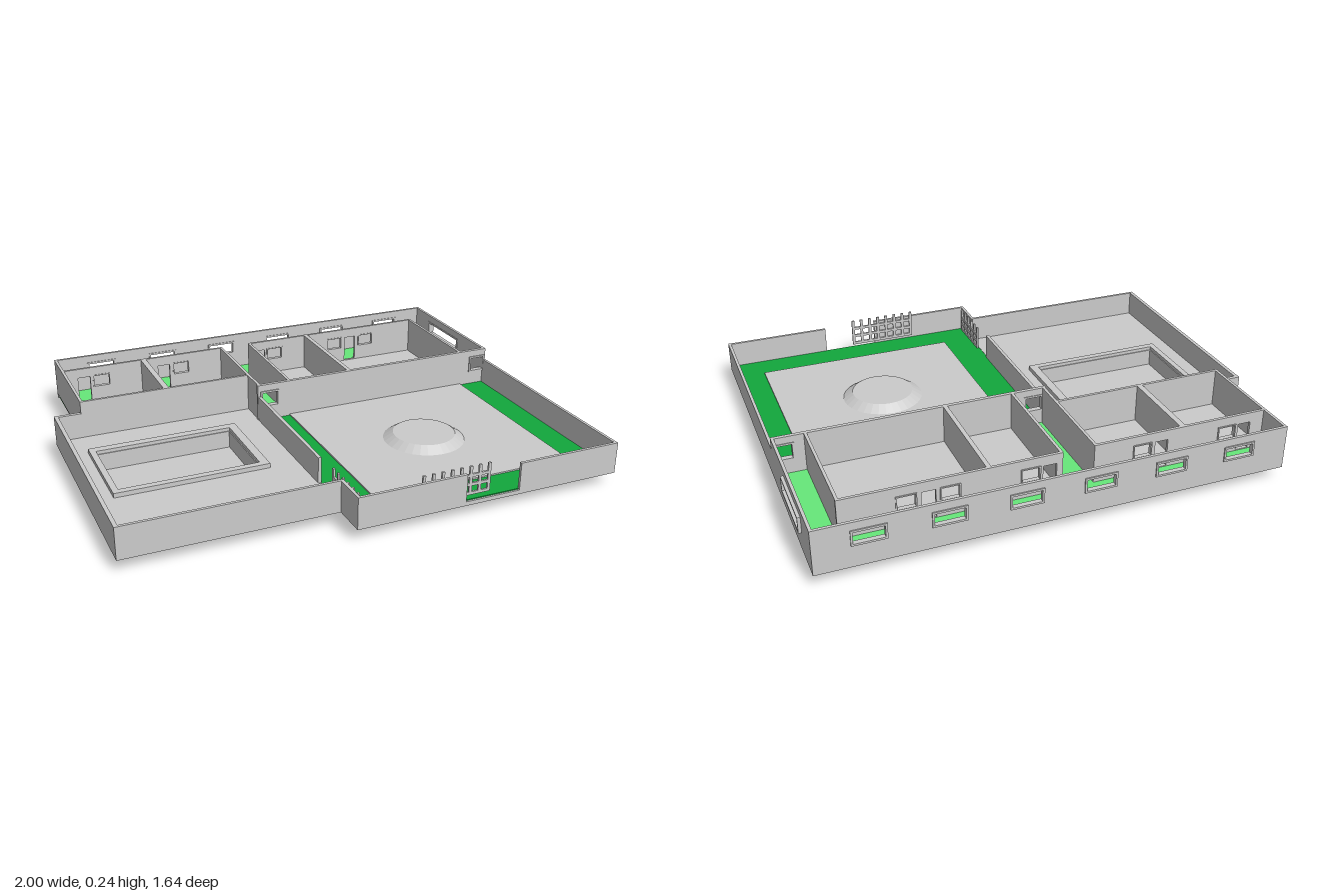
import * as THREE from 'three';

const GREY = new THREE.MeshStandardMaterial({ color: 0xcccccc, flatShading: true });
const LAWN = new THREE.MeshStandardMaterial({ color: 0x66e87a });
const DARK_LAWN = new THREE.MeshStandardMaterial({ color: 0x12a73c });

const BASE = 0.053, LOW = 0.185, HIGH = 0.237;

function rectPath(target, a, b, c, d) {
  target.moveTo(a, c);
  target.lineTo(b, c);
  target.lineTo(b, d);
  target.lineTo(a, d);
  target.closePath();
  return target;
}

export function createModel() {
  const root = new THREE.Group();

  function add(name, geometry, material = GREY, parent = root) {
    const mesh = new THREE.Mesh(geometry, material);
    mesh.name = name;
    parent.add(mesh);
    return mesh;
  }

  // Box given by its limits on each axis
  function block(name, x0, x1, y0, y1, z0, z1, material, parent) {
    const mesh = add(name, new THREE.BoxGeometry(x1 - x0, y1 - y0, z1 - z0), material, parent);
    mesh.position.set((x0 + x1) / 2, (y0 + y1) / 2, (z0 + z1) / 2);
    return mesh;
  }

  // Upright wall running along x or z, with openings [from, to, bottom, top]
  function wall(name, axis, from, to, at, thick, y0, y1, openings = []) {
    const shape = rectPath(new THREE.Shape(), from, to, y0, y1);
    for (const o of openings) shape.holes.push(rectPath(new THREE.Path(), ...o));
    const geo = new THREE.ExtrudeGeometry(shape, { depth: thick, bevelEnabled: false });
    geo.translate(0, 0, -thick / 2);
    if (axis === 'z') geo.rotateY(-Math.PI / 2);
    const mesh = add(name, geo);
    mesh.position[axis === 'x' ? 'z' : 'x'] = at;
    return mesh;
  }

  // Frame around an opening
  function frame(name, axis, [a, b, c, d], at, thick, rim = 0.008) {
    wall(name, axis, a - rim, b + rim, at, thick, c - rim, d + rim, [[a, b, c, d]]);
  }

  // Flat slab with optional rectangular hole, limits in x and z
  function slab(name, x0, x1, z0, z1, y0, y1, hole, material) {
    const shape = rectPath(new THREE.Shape(), x0, x1, -z1, -z0);
    if (hole) shape.holes.push(rectPath(new THREE.Path(), hole[0], hole[1], -hole[3], -hole[2]));
    const geo = new THREE.ExtrudeGeometry(shape, { depth: y1 - y0, bevelEnabled: false });
    geo.rotateX(-Math.PI / 2);
    add(name, geo, material).position.y = y0;
  }

  // Lawns
  const G0 = 0.056, G1 = 0.074;
  block('backLawn', -0.885, 0.98, G0, G1, -0.81, -0.665, LAWN);
  block('passageLawn', -0.14, -0.003, G0, G1, -0.665, -0.175, LAWN);
  block('sideLawn', 0.86, 0.98, G0, G1, -0.665, -0.175, LAWN);
  block('courtLawnRight', -0.14, -0.003, G0, G1, -0.175, 0.81, DARK_LAWN);
  block('courtLawnLeft', 0.86, 0.98, G0, G1, -0.175, 0.81, DARK_LAWN);
  block('courtLawnFront', -0.003, 0.86, G0, G1, 0.68, 0.81, DARK_LAWN);

  // Paved floors
  block('courtFloor', -0.003, 0.86, G0, 0.08, -0.175, 0.68);
  block('leftRoomsFloor', -0.003, 0.86, G0, 0.076, -0.665, -0.175);
  block('rightRoomsFloor', -0.885, -0.14, G0, 0.076, -0.665, -0.305);
  const pool = [-0.88, -0.305, -0.105, 0.247];
  slab('yardFloor', -0.99, -0.14, -0.305, 0.67, 0.06, 0.076, pool);

  // Round plinth in the court
  const plinth = add('courtPlinth', new THREE.CylinderGeometry(0.13, 0.17, 0.027, 32));
  plinth.position.set(0.42, 0.0935, 0.28);

  // Pool
  slab('poolRim', -0.905, -0.27, -0.14, 0.275, 0.07, 0.095, pool);
  slab('poolWalls', pool[0], pool[1], pool[2], pool[3], 0, 0.08, [-0.876, -0.309, -0.101, 0.243]);
  block('poolBottom', pool[0], pool[1], 0, 0.006, pool[2], pool[3]);

  // Outer house walls with their windows
  const T = 0.012;
  const backWindows = [];
  for (let i = 0; i < 6; i++) {
    const x = -0.678 + i * 0.2925;
    backWindows.push([x - 0.058, x + 0.058, 0.15, 0.197]);
  }
  wall('backWall', 'x', -0.89, 0.988, -0.81, T, BASE, HIGH, backWindows);
  for (const w of backWindows) frame('backWindowFrame', 'x', w, -0.811, 0.02);

  const sideWindow = [-0.67, -0.405, 0.148, 0.198];
  wall('houseLeftWall', 'z', -0.816, -0.165, 0.982, T, BASE, HIGH, [sideWindow]);
  frame('sideWindowFrame', 'z', sideWindow, 0.987, 0.026);
  wall('houseRightWall', 'z', -0.816, -0.3, -0.884, T, G1, HIGH);

  const frontWindows = [[-0.13, -0.06, 0.14, 0.2], [0.91, 0.975, 0.14, 0.2]];
  wall('houseFrontWall', 'x', -0.15, 0.988, -0.173, 0.016, G1, HIGH, frontWindows);
  for (const w of frontWindows) frame('frontWindowFrame', 'x', w, -0.172, 0.024);
  wall('rightRoomsFrontWall', 'x', -0.89, -0.135, -0.303, T, G0, HIGH);

  // Room walls onto the back lawn: door and window openings
  const door = (x) => [x, x + 0.055, 0.078, 0.195];
  const win = (x) => [x, x + 0.07, 0.145, 0.195];
  const rightOpenings = [door(-0.82), win(-0.748), door(-0.45), win(-0.375)];
  const leftOpenings = [door(0.02), win(0.09), win(0.405), door(0.495), win(0.572)];
  wall('rightRoomsBackWall', 'x', -0.885, -0.135, -0.665, T, G0, HIGH, rightOpenings);
  wall('leftRoomsBackWall', 'x', -0.005, 0.862, -0.665, T, G0, HIGH, leftOpenings);
  for (const o of [...rightOpenings, ...leftOpenings]) {
    if (o[2] > 0.1) frame('roomWindowFrame', 'x', o, -0.666, 0.018, 0.005);
  }

  // Walls between rooms
  const partitions = [
    [-0.517, -0.303, 0.024], [-0.141, -0.165, T], [-0.001, -0.175, T],
    [0.288, -0.175, 0.018], [0.855, -0.175, T],
  ];
  for (const [x, z1, t] of partitions) wall('partition', 'z', -0.665, z1, x, t, G0, HIGH);

  // Low walls around the yard
  wall('yardRightWall', 'z', -0.312, 0.675, -0.992, 0.016, BASE, LOW);
  wall('yardFrontWall', 'x', -1, -0.14, 0.669, T, BASE, LOW);
  wall('yardBackWall', 'x', -1, -0.885, -0.304, 0.016, BASE, LOW);
  wall('yardDivider', 'z', -0.175, 0.47, -0.142, 0.014, BASE, LOW);

  // Low walls around the court
  wall('courtLeftWall', 'z', -0.17, 0.818, 0.982, T, BASE, LOW);
  wall('courtCornerWall', 'z', 0.665, 0.818, -0.142, T, BASE, LOW);
  wall('courtFrontWallRight', 'x', -0.148, 0.305, 0.812, T, BASE, LOW);
  wall('courtFrontWallLeft', 'x', 0.54, 0.988, 0.812, T, BASE, LOW);
  block('gateSill', 0.305, 0.54, BASE, 0.07, 0.806, 0.818);

  // Lattice gates built along x, then placed
  function gate(name, length, y0, y1) {
    const g = new THREE.Group();
    g.name = name;
    const count = Math.round(length / 0.04);
    for (let i = 0; i <= count; i++) {
      const x = (i / count) * length;
      block('gateBar', x - 0.006, x + 0.006, y0, y1, -0.004, 0.004, GREY, g);
    }
    for (let i = 0; i < 3; i++) {
      const y = y0 + 0.006 + i * (y1 - y0 - 0.045) / 2;
      block('gateRail', -0.006, length + 0.006, y - 0.006, y + 0.006, -0.004, 0.004, GREY, g);
    }
    root.add(g);
    return g;
  }
  gate('frontGate', 0.28, 0.088, 0.208).position.set(0.128, 0, 0.8);
  const sideGate = gate('sideGate', 0.21, 0.078, 0.183);
  sideGate.rotation.y = -Math.PI / 2;
  sideGate.position.set(-0.13, 0, 0.57);

  return root;
}
